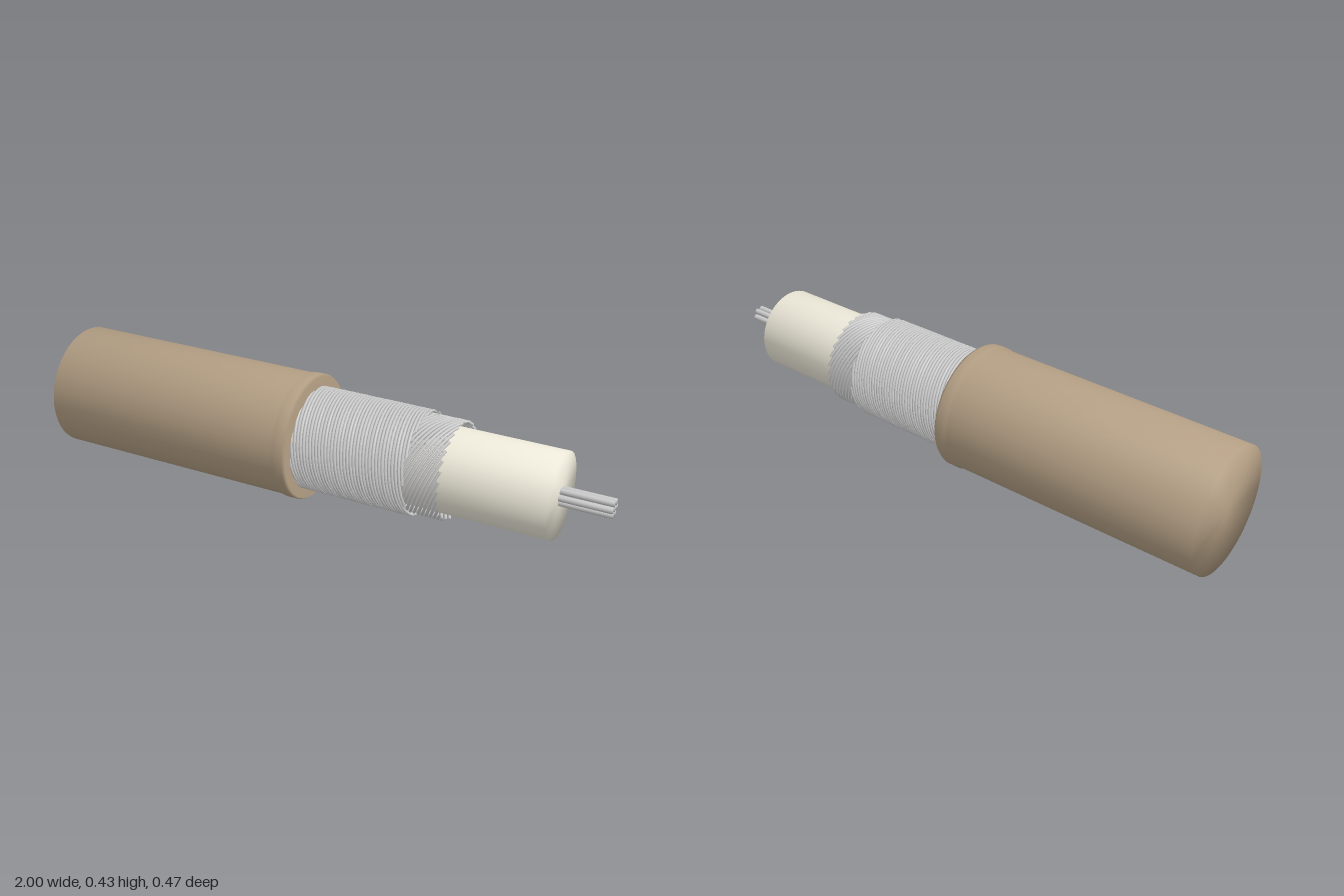
import * as THREE from 'three';

const jacketMat = new THREE.MeshStandardMaterial({ color: 0xb5a085 });
const ivoryMat = new THREE.MeshStandardMaterial({ color: 0xf0ecdc });
const metalMat = new THREE.MeshStandardMaterial({ color: 0xcccccc });

// Solid of revolution along x, from [radius, x] pairs ordered towards +x
function turned(name, profile, segments, material) {
  const points = profile.map(([r, x]) => new THREE.Vector2(r, x));
  const geometry = new THREE.LatheGeometry(points, segments).rotateZ(-Math.PI / 2);
  const mesh = new THREE.Mesh(geometry, material);
  mesh.name = name;
  return mesh;
}

class Helix extends THREE.Curve {
  constructor(radius, x0, x1, turns, phase) {
    super();
    Object.assign(this, { radius, x0, x1, turns, phase });
  }
  getPoint(t, target = new THREE.Vector3()) {
    const a = this.phase + t * this.turns * Math.PI * 2;
    return target.set(
      this.x0 + (this.x1 - this.x0) * t,
      this.radius * Math.cos(a),
      this.radius * Math.sin(a)
    );
  }
}

// Layer of evenly spaced wires wound side by side
function woundLayer(name, { radius, x0, x1, turns, wires, wireRadius }) {
  const layer = new THREE.Group();
  layer.name = name;
  const steps = Math.ceil(Math.abs(turns) * 40);
  for (let i = 0; i < wires; i++) {
    const path = new Helix(radius, x0, x1, turns, (i / wires) * Math.PI * 2);
    const wire = new THREE.Mesh(new THREE.TubeGeometry(path, steps, wireRadius, 6), metalMat);
    wire.name = 'braidWire';
    layer.add(wire);
  }
  return layer;
}

export function createModel() {
  const model = new THREE.Group();
  model.name = 'cable';

  // Outer jacket with a raised lip at the stripped end
  model.add(turned('jacket', [
    [0, -0.99], [0.213, -0.99], [0.213, -0.09], [0.217, -0.08],
    [0.217, -0.045], [0.211, -0.035], [0, -0.035],
  ], 64, jacketMat));

  // Two shield layers wound in opposite directions
  model.add(woundLayer('outerBraid', {
    radius: 0.173, x0: -0.04, x1: 0.37, turns: 3, wires: 12, wireRadius: 0.0053,
  }));
  model.add(woundLayer('innerBraid', {
    radius: 0.162, x0: -0.04, x1: 0.485, turns: -1.25, wires: 30, wireRadius: 0.0055,
  }));

  // Insulating core
  model.add(turned('insulator', [
    [0, -0.04], [0.143, -0.04], [0.143, 0.83], [0, 0.83],
  ], 64, ivoryMat));

  // Seven-strand conductor: one strand in the middle, six around it
  const conductor = new THREE.Group();
  conductor.name = 'conductor';
  for (let i = 0; i < 7; i++) {
    const strand = turned('strand', [
      [0, 0.8], [0.0105, 0.8], [0.0105, 1], [0, 1],
    ], 16, metalMat);
    if (i > 0) {
      const a = (i / 6) * Math.PI * 2 + 0.13;
      strand.position.set(0, 0.022 * Math.sin(a), 0.022 * Math.cos(a));
    }
    conductor.add(strand);
  }
  model.add(conductor);

  // The cable lies slightly turned
  model.rotation.y = -0.0435;
  model.position.set(0, 0.217, 0.0215);

  const root = new THREE.Group();
  root.name = 'strippedCable';
  root.add(model);
  return root;
}
